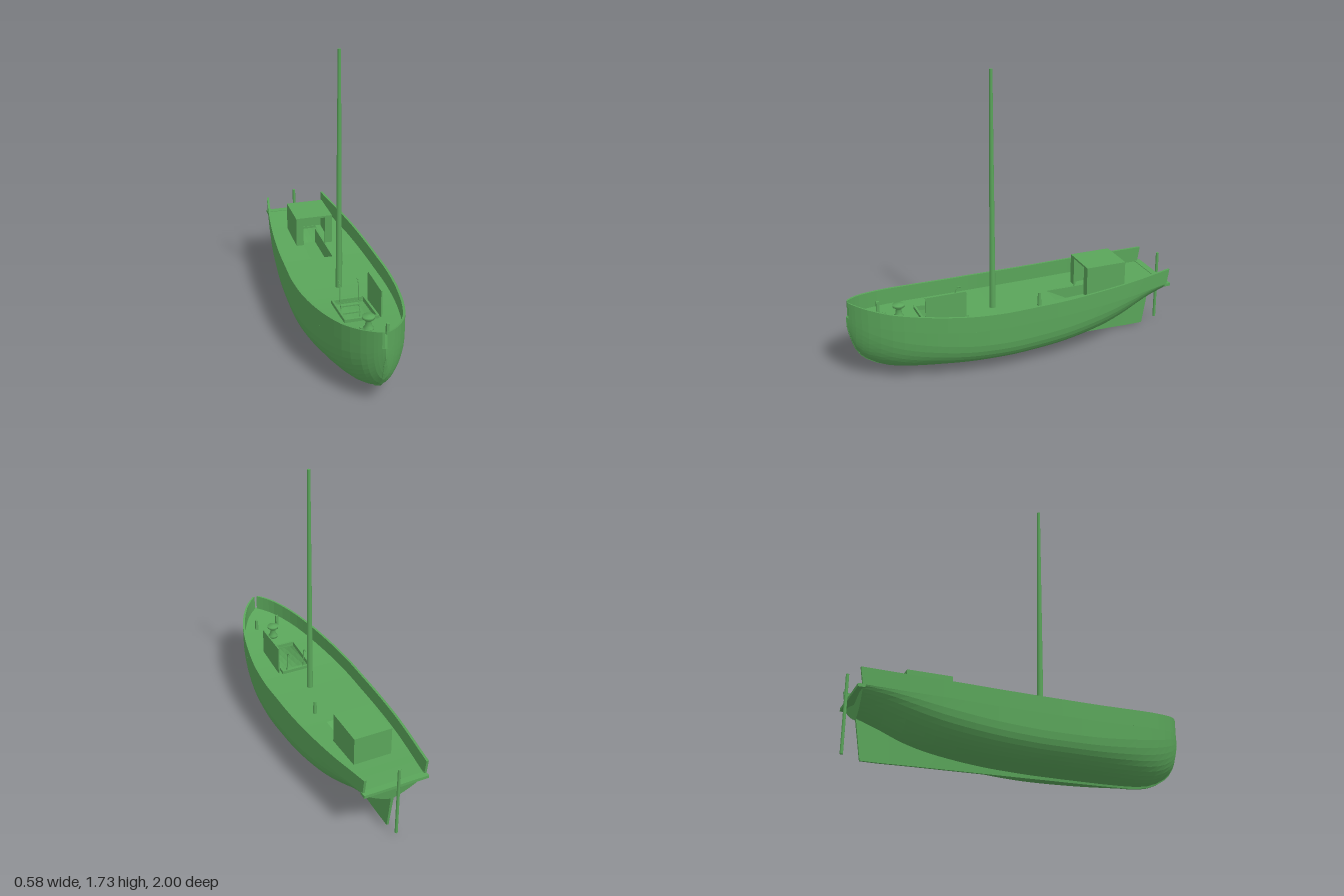
import * as THREE from 'three';

// Hull stations: z, half beam, sheer, keel, floor, section exponents n and m
const STATIONS = [
  [-0.965, 0.195, 0.437, 0.0, 0.22, 1.3, 1.3],
  [-0.85, 0.213, 0.428, 0.0, 0.18, 1.4, 1.5],
  [-0.7, 0.237, 0.416, 0.003, 0.125, 1.6, 2],
  [-0.5, 0.262, 0.405, 0.006, 0.08, 1.9, 2.8],
  [-0.25, 0.281, 0.393, 0.01, 0.048, 2.3, 3.5],
  [0, 0.288, 0.388, 0.014, 0.035, 2.5, 3.9],
  [0.15, 0.29, 0.387, 0.017, 0.033, 2.5, 3.9],
  [0.35, 0.276, 0.393, 0.02, 0.033, 2.4, 3.7],
  [0.55, 0.243, 0.41, 0.024, 0.035, 2.2, 3.2],
  [0.7, 0.205, 0.428, 0.03, 0.042, 2.1, 2.8],
  [0.8, 0.168, 0.442, 0.05, 0.06, 2, 2.5],
  [0.9, 0.11, 0.462, 0.105, 0.113, 2, 2.3],
  [0.96, 0.056, 0.475, 0.18, 0.187, 2, 2.2],
  [0.99, 0.018, 0.482, 0.28, 0.285, 2, 2],
  [1, 0.003, 0.485, 0.33, 0.335, 2, 2],
];
const BULWARK = 0.095;

// Smooth interpolation between stations
function station(z) {
  const S = STATIONS, last = S.length - 1;
  let i = 0;
  while (i < last - 1 && z > S[i + 1][0]) i++;
  const h = S[i + 1][0] - S[i][0], t = (z - S[i][0]) / h;
  const slope = (k, c) => {
    const a = S[Math.max(0, k - 1)], b = S[Math.min(last, k + 1)];
    return (b[c] - a[c]) / (b[0] - a[0]);
  };
  const at = (c) => {
    const t2 = t * t, t3 = t2 * t;
    return (2 * t3 - 3 * t2 + 1) * S[i][c] + (t3 - 2 * t2 + t) * h * slope(i, c)
      + (3 * t2 - 2 * t3) * S[i + 1][c] + (t3 - t2) * h * slope(i + 1, c);
  };
  const sheer = at(2);
  return { z, beam: Math.max(0.002, at(1)), sheer, deck: sheer - BULWARK, keel: at(3), floor: at(4), n: at(5), m: at(6) };
}

// Point on a station, raked forward below the sheer towards the stern
function raked(s, x, y) {
  const k = THREE.MathUtils.smoothstep(-s.z, 0.5, 0.965);
  return [x, y, s.z + 0.16 * k * (s.sheer - y)];
}

// Faceted skin over rows of points; skip(i, j) leaves a hole
function loft(rows, skip = () => false) {
  const pos = [];
  for (let i = 0; i < rows.length - 1; i++) {
    for (let j = 0; j < rows[i].length - 1; j++) {
      if (skip(i, j)) continue;
      const a = rows[i][j], b = rows[i][j + 1], c = rows[i + 1][j + 1], d = rows[i + 1][j];
      pos.push(...a, ...d, ...c, ...a, ...c, ...b);
    }
  }
  const g = new THREE.BufferGeometry();
  g.setAttribute('position', new THREE.Float32BufferAttribute(pos, 3));
  g.computeVertexNormals();
  return g;
}

const fan = (centre, ring) => loft([ring.map(() => centre), ring]);

function zList(from, to, extra = []) {
  const list = [from, to, ...extra];
  for (let z = -0.9; z < to - 0.01; z += 0.06) list.push(z);
  for (const z of [0.93, 0.96, 0.975, 0.99]) if (z < to) list.push(z);
  return [...new Set(list)].sort((a, b) => a - b);
}

// Full hull section from the left deck edge under the keel to the right
function hullRow(z) {
  const s = station(z), half = [], steps = 11;
  const w = Math.min(0.009, s.beam);
  for (let k = steps; k >= 0; k--) {
    const a = (k / steps) * Math.PI / 2;
    const x = Math.max(w, s.beam * Math.sin(a) ** (2 / s.n));
    const c = k === steps ? 0 : Math.cos(a) ** (2 / s.m);
    half.push([x, s.floor + (s.deck - s.floor) * (1 - c)]);
  }
  half.push([w * 0.7, s.keel]);
  const right = half.map(([x, y]) => [-x, y]).reverse();
  return [...half, ...right].map(([x, y]) => raked(s, x, y));
}

export function createModel() {
  const model = new THREE.Group();
  const green = new THREE.MeshStandardMaterial({ color: 0x5aa55a, side: THREE.DoubleSide });
  green.name = 'green';

  const add = (name, geometry, x = 0, y = 0, z = 0, parent = model) => {
    const mesh = new THREE.Mesh(geometry, green);
    mesh.name = name;
    mesh.position.set(x, y, z);
    parent.add(mesh);
    return mesh;
  };
  // Box given by its limits
  const box = (name, x0, x1, y0, y1, z0, z1, parent) => add(name,
    new THREE.BoxGeometry(x1 - x0, y1 - y0, z1 - z0), (x0 + x1) / 2, (y0 + y1) / 2, (z0 + z1) / 2, parent);
  const deckAt = (z) => station(z).deck;

  // Hull with skeg, and the raked transom
  const hullRows = zList(-0.965, 1).map(hullRow);
  add('hull', loft(hullRows));
  add('transom', fan([0, 0.3, hullRows[0][0][2] + 0.006], hullRows[0]));
  box('sternLedge', -0.197, 0.197, 0.326, 0.344, -0.975, -0.935);

  // Deck with openings for the companionway and the fore hatch
  const holes = [[-0.69, -0.26, 0.07], [0.32, 0.565, 0.088]];
  const deckZ = zList(-0.965, 1, holes.flatMap((h) => h.slice(0, 2)));
  const holeAt = (z) => holes.find((h) => z >= h[0] - 1e-6 && z <= h[1] + 1e-6);
  const deckRows = deckZ.map((z) => {
    const s = station(z), h = holeAt(z);
    const w = h ? h[2] : Math.min(0.07, s.beam * 0.4);
    return [-s.beam, -w, w, s.beam].map((x) => raked(s, x, s.deck));
  });
  add('deck', loft(deckRows, (i, j) => j === 1 && holeAt((deckZ[i] + deckZ[i + 1]) / 2) !== undefined));

  // Bulwarks, open at the stern and at the stem
  for (const side of [1, -1]) {
    const rows = zList(-0.965, 0.988).map((z) => {
      const s = station(z), inner = Math.max(0.004, s.beam - 0.014);
      const ring = [[s.beam, s.sheer], [s.beam, s.deck], [inner, s.deck], [inner, s.sheer], [s.beam, s.sheer]]
        .map(([x, y]) => raked(s, side * x, y));
      return side > 0 ? ring : ring.reverse();
    });
    const centre = (r) => [0, 1, 2].map((k) => (r[0][k] + r[1][k] + r[2][k] + r[3][k]) / 4);
    const bow = rows[rows.length - 1];
    const name = side > 0 ? 'leftBulwark' : 'rightBulwark';
    add(name, loft(rows));
    add(name + 'SternEnd', fan(centre(rows[0]), rows[0]));
    add(name + 'BowEnd', fan(centre(bow), [...bow].reverse()));
  }

  // Mast
  add('mast', new THREE.CylinderGeometry(0.009, 0.019, 1.44, 16), 0, 1.01, 0.12);

  // Deckhouse with an open doorway and a ramp leading down into it
  const house = new THREE.Group();
  house.name = 'deckhouse';
  model.add(house);
  box('roof', -0.117, 0.117, 0.483, 0.495, -0.7, -0.445, house);
  box('backWall', -0.117, 0.117, 0.305, 0.483, -0.7, -0.688, house);
  for (const s of [1, -1]) {
    box('sideWall', s * 0.111 - 0.006, s * 0.111 + 0.006, 0.3, 0.483, -0.688, -0.445, house);
    box('doorJamb', s * 0.0875 - 0.0175, s * 0.0875 + 0.0175, 0.3, 0.483, -0.457, -0.445, house);
    box('companionwaySide', s * 0.07 - 0.002, s * 0.07 + 0.002, 0.2, 0.298, -0.69, -0.26, house);
  }
  add('ramp', loft([[-0.07, 0.07].map((x) => [x, 0.2, -0.445]), [-0.07, 0.07].map((x) => [x, deckAt(-0.26), -0.26])]), 0, 0, 0, house);
  box('houseFloor', -0.07, 0.07, 0.19, 0.2, -0.69, -0.445, house);

  // Fore hatch: coaming following the deck slope, raised lid and ladder
  const hatch = new THREE.Group();
  hatch.name = 'foreHatch';
  model.add(hatch);
  const slope = Math.atan2(deckAt(0.58) - deckAt(0.305), 0.275);
  for (const s of [1, -1]) {
    const midY = (deckAt(0.305) + deckAt(0.58)) / 2 + 0.006;
    add('coamingSide', new THREE.BoxGeometry(0.013, 0.028, 0.275), s * 0.0935, midY, 0.4425, hatch).rotation.x = -slope;
    const z = 0.4425 + s * 0.131;
    box('coamingEnd', -0.0995, 0.0995, deckAt(z) - 0.01, deckAt(z) + 0.02, z - 0.0065, z + 0.0065, hatch);

    // Ladder rail with a hooked top
    const rail = new THREE.CatmullRomCurve3([
      [0.425, 0.07], [0.38, 0.2], [0.337, 0.33], [0.332, 0.41], [0.32, 0.43], [0.297, 0.43],
    ].map(([z2, y]) => new THREE.Vector3(s * 0.055, y, z2)));
    add('ladderRail', new THREE.TubeGeometry(rail, 20, 0.003, 6), 0, 0, 0, hatch);
  }
  box('hatchLid', 0.112, 0.12, deckAt(0.33), 0.48, 0.325, 0.57, hatch);
  for (let i = 0; i < 6; i++) {
    const z = 0.345 + i * 0.014, y = 0.29 - i * 0.04;
    box('ladderStep', -0.055, 0.055, y - 0.004, y + 0.004, z - 0.012, z + 0.012, hatch);
  }

  // Capstan
  const capstan = [[0, 0], [0.03, 0], [0.03, 0.012], [0.02, 0.022], [0.016, 0.05], [0.022, 0.064], [0.035, 0.07], [0.035, 0.084], [0, 0.088]];
  add('capstan', new THREE.LatheGeometry(capstan.map(([r, y]) => new THREE.Vector2(r, y)), 16), 0, deckAt(0.695) - 0.003, 0.695);

  // Mooring bitts and the small deck post
  for (const s of [1, -1]) box('bitt', s * 0.073 - 0.008, s * 0.073 + 0.008, 0.335, 0.415, 0.79, 0.808);
  add('deckPost', new THREE.CylinderGeometry(0.009, 0.013, 0.085, 12), 0.09, 0.335, -0.145);

  // Rudder stock
  add('rudderStock', new THREE.CylinderGeometry(0.009, 0.009, 0.44, 10), 0, 0.245, -0.99);

  return model;
}
